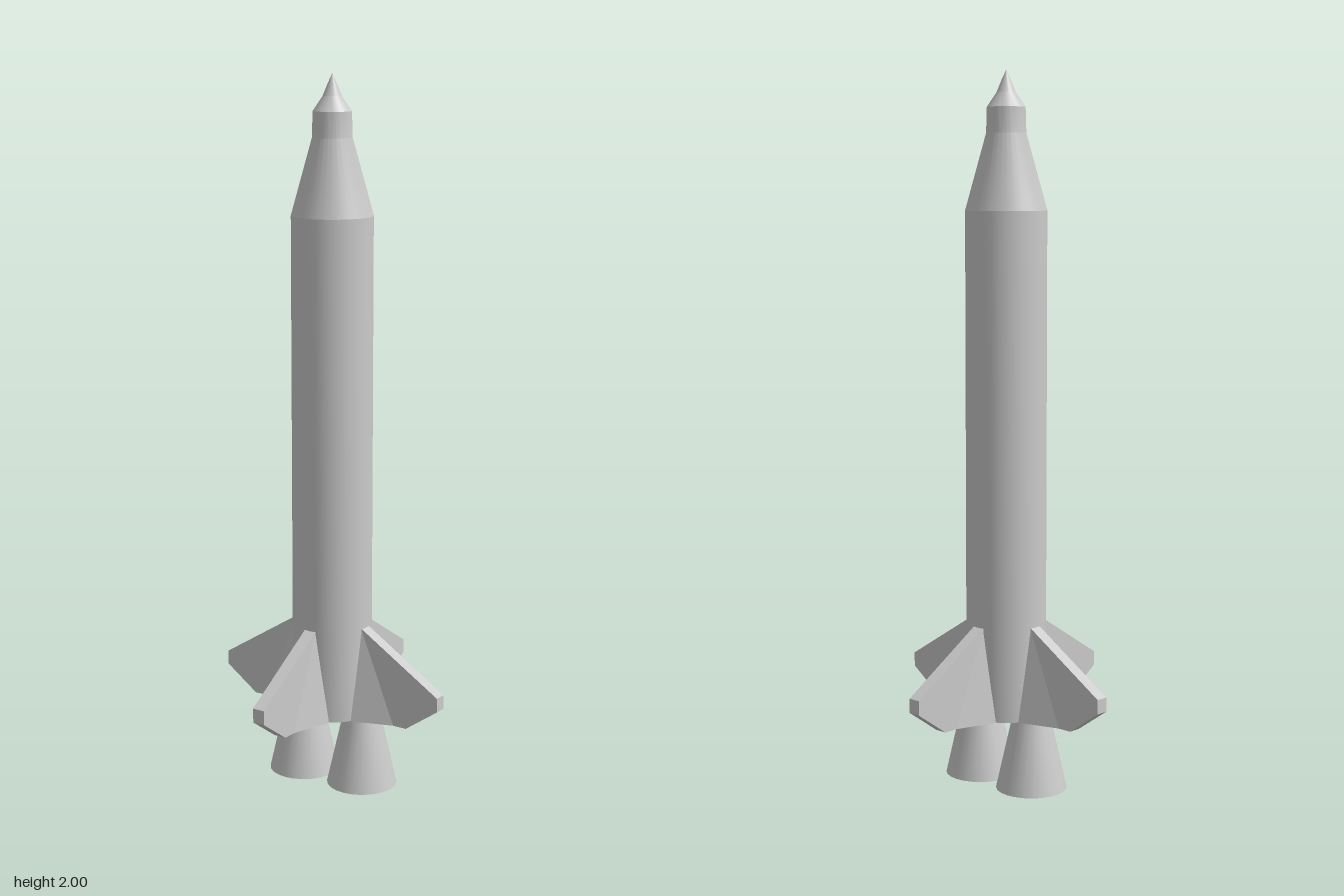
import * as THREE from 'three';
import { toCreasedNormals } from 'three/addons/utils/BufferGeometryUtils.js';
import { ConvexGeometry } from 'three/addons/geometries/ConvexGeometry.js';

const grey = new THREE.MeshStandardMaterial({ color: 0xcccccc });
const greyOpen = new THREE.MeshStandardMaterial({ color: 0xcccccc, side: THREE.DoubleSide });

function part(name, geometry, material = grey) {
  const mesh = new THREE.Mesh(geometry, material);
  mesh.name = name;
  return mesh;
}

function lathe(points, segments) {
  const profile = points.map(([r, y]) => new THREE.Vector2(r, y));
  return toCreasedNormals(new THREE.LatheGeometry(profile, segments), 0.25);
}

// Fin plate pointing along +x, with a wedge fairing blending it into the body
function createFin() {
  const fin = new THREE.Group();
  const outline = new THREE.Shape(
    [[0.06, 0.2], [0.26, 0.2], [0.36, 0.27], [0.36, 0.31], [0.113, 0.465], [0.06, 0.465]]
      .map(([x, y]) => new THREE.Vector2(x, y))
  );
  const thickness = 0.036;
  const plate = new THREE.ExtrudeGeometry(outline, { depth: thickness, bevelEnabled: false });
  plate.translate(0, 0, -thickness / 2);
  fin.add(part('finPlate', plate));

  const corners = [];
  for (const s of [-1, 1]) {
    corners.push(
      new THREE.Vector3(0.112, 0.465, s * 0.0175),
      new THREE.Vector3(0.22, 0.2, s * 0.0175),
      new THREE.Vector3(0.1, 0.2, s * 0.056)
    );
  }
  fin.add(part('finFairing', new ConvexGeometry(corners)));
  return fin;
}

export function createModel() {
  const rocket = new THREE.Group();
  rocket.name = 'rocket';

  // Body with tapered shoulder, collar and pointed tip
  const body = new THREE.Group();
  body.name = 'bodyAndFins';
  body.position.set(-0.002, 0, -0.004);
  body.add(part('body', lathe([
    [0, 0.2], [0.113, 0.2], [0.113, 1.62], [0.055, 1.83],
    [0.053, 1.9], [0.026, 1.94], [0.014, 1.97], [0, 2]
  ], 32)));

  // Four fins around the base
  for (let i = 0; i < 4; i++) {
    const fin = createFin();
    fin.name = 'fin' + (i + 1);
    fin.rotation.y = i * Math.PI / 2;
    body.add(fin);
  }
  rocket.add(body);

  // Two open engine bells side by side
  for (const [name, x] of [['leftNozzle', 0.1], ['rightNozzle', -0.1]]) {
    const bell = new THREE.CylinderGeometry(0.055, 0.1, 0.2, 24, 1, true);
    const nozzle = part(name, bell, greyOpen);
    nozzle.position.set(x, 0.1, -0.004);
    rocket.add(nozzle);
  }

  return rocket;
}
